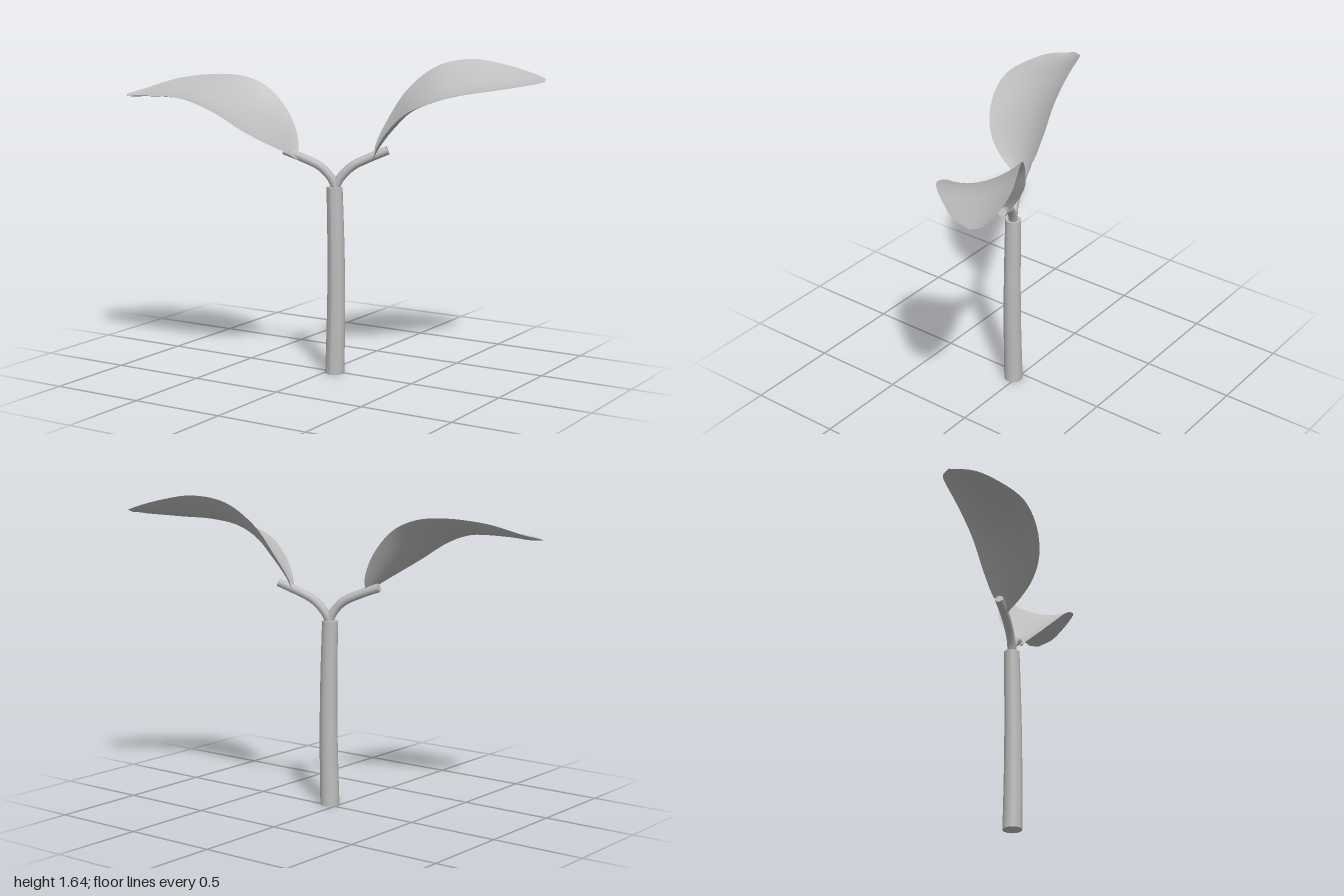
import * as THREE from 'three';

const V = (p) => new THREE.Vector3(...p);
const curve = (pts) => new THREE.CatmullRomCurve3(pts.map(V));

// Cupped blade lofted between two edge curves; the normal points to the upper face
function leafBlade(edgeA, edgeB, depth) {
  const nu = 40, nv = 16;
  const a = curve(edgeA), b = curve(edgeB);
  const geo = new THREE.PlaneGeometry(1, 1, nv, nu);
  const pos = geo.attributes.position;
  for (let i = 0; i <= nu; i++) {
    const u = i / nu;
    const pa = a.getPoint(u), pb = b.getPoint(u);
    const along = a.getTangent(u).add(b.getTangent(u));
    const up = along.cross(pb.clone().sub(pa)).normalize();
    for (let j = 0; j <= nv; j++) {
      const v = j / nv;
      const sag = depth * 4 * v * (1 - v) * Math.sin(Math.PI * u);
      const p = pa.clone().lerp(pb, v).addScaledVector(up, -sag);
      pos.setXYZ(i * (nv + 1) + j, p.x, p.y, p.z);
    }
  }
  geo.computeVertexNormals();
  return geo;
}

export function createModel() {
  const group = new THREE.Group();
  const grey = new THREE.MeshStandardMaterial({ color: 0xbcbcbc, side: THREE.DoubleSide });
  grey.name = 'plain grey';
  const add = (name, geo, parent = group) => {
    const mesh = new THREE.Mesh(geo, grey);
    mesh.name = name;
    parent.add(mesh);
    return mesh;
  };

  // Main stem: slightly bowed and tapered
  const stem = new THREE.CylinderGeometry(0.042, 0.051, 0.99, 14, 16);
  stem.translate(0, 0.495, 0);
  const sp = stem.attributes.position;
  for (let i = 0; i < sp.count; i++) {
    const t = sp.getY(i) / 0.99;
    sp.setX(i, sp.getX(i) + 0.049 + 0.01 * Math.sin(Math.PI * t) - 0.002 * t);
    sp.setZ(i, sp.getZ(i) + 0.02);
  }
  stem.computeVertexNormals();
  add('stem', stem);

  // Leaf stalks, each a curved tube with closed ends
  const stalk = (name, pts) => {
    const path = curve(pts);
    const holder = new THREE.Group();
    holder.name = name;
    group.add(holder);
    add(name + 'Tube', new THREE.TubeGeometry(path, 24, 0.023, 10), holder);
    for (const t of [0, 1]) {
      const cap = add(name + 'End', new THREE.CircleGeometry(0.023, 10), holder);
      cap.position.copy(path.getPoint(t));
      const dir = path.getTangent(t).multiplyScalar(t ? 1 : -1);
      cap.quaternion.setFromUnitVectors(new THREE.Vector3(0, 0, 1), dir);
    }
  };
  stalk('leftStalk', [[0.045, 0.98, 0.02], [0.075, 1.04, 0.005], [0.13, 1.1, -0.02],
    [0.21, 1.145, -0.06], [0.295, 1.185, -0.1]]);
  stalk('rightStalk', [[0.055, 0.98, 0.015], [0.03, 1.04, 0.03], [-0.02, 1.095, 0.05],
    [-0.11, 1.14, 0.085], [-0.2, 1.175, 0.115]]);

  // Leaf on the +x side: front edge, then back edge, base to tip
  add('leftLeaf', leafBlade(
    [[0.225, 1.12, -0.055], [0.3, 1.21, 0.02], [0.4, 1.315, 0.07], [0.5, 1.4, 0.075],
      [0.62, 1.455, 0.04], [0.73, 1.49, -0.05], [0.85, 1.51, -0.19], [0.96, 1.53, -0.34],
      [1, 1.54, -0.46]],
    [[0.22, 1.13, -0.07], [0.21, 1.22, -0.13], [0.24, 1.34, -0.2], [0.32, 1.49, -0.26],
      [0.45, 1.61, -0.34], [0.6, 1.645, -0.43], [0.75, 1.62, -0.5], [0.9, 1.58, -0.525],
      [0.985, 1.555, -0.51]], 0.05));

  // Leaf on the -x side: back edge, then front edge, base to tip
  add('rightLeaf', leafBlade(
    [[-0.13, 1.14, 0.1], [-0.155, 1.22, 0.05], [-0.22, 1.35, 0.03], [-0.33, 1.48, 0.045],
      [-0.45, 1.54, 0.075], [-0.6, 1.555, 0.13], [-0.8, 1.53, 0.22], [-0.94, 1.48, 0.31],
      [-1, 1.455, 0.39]],
    [[-0.12, 1.13, 0.115], [-0.135, 1.175, 0.2], [-0.18, 1.23, 0.31], [-0.26, 1.3, 0.41],
      [-0.38, 1.39, 0.48], [-0.55, 1.455, 0.52], [-0.8, 1.46, 0.51], [-0.93, 1.45, 0.48],
      [-1, 1.445, 0.415]], 0.05));

  return group;
}
